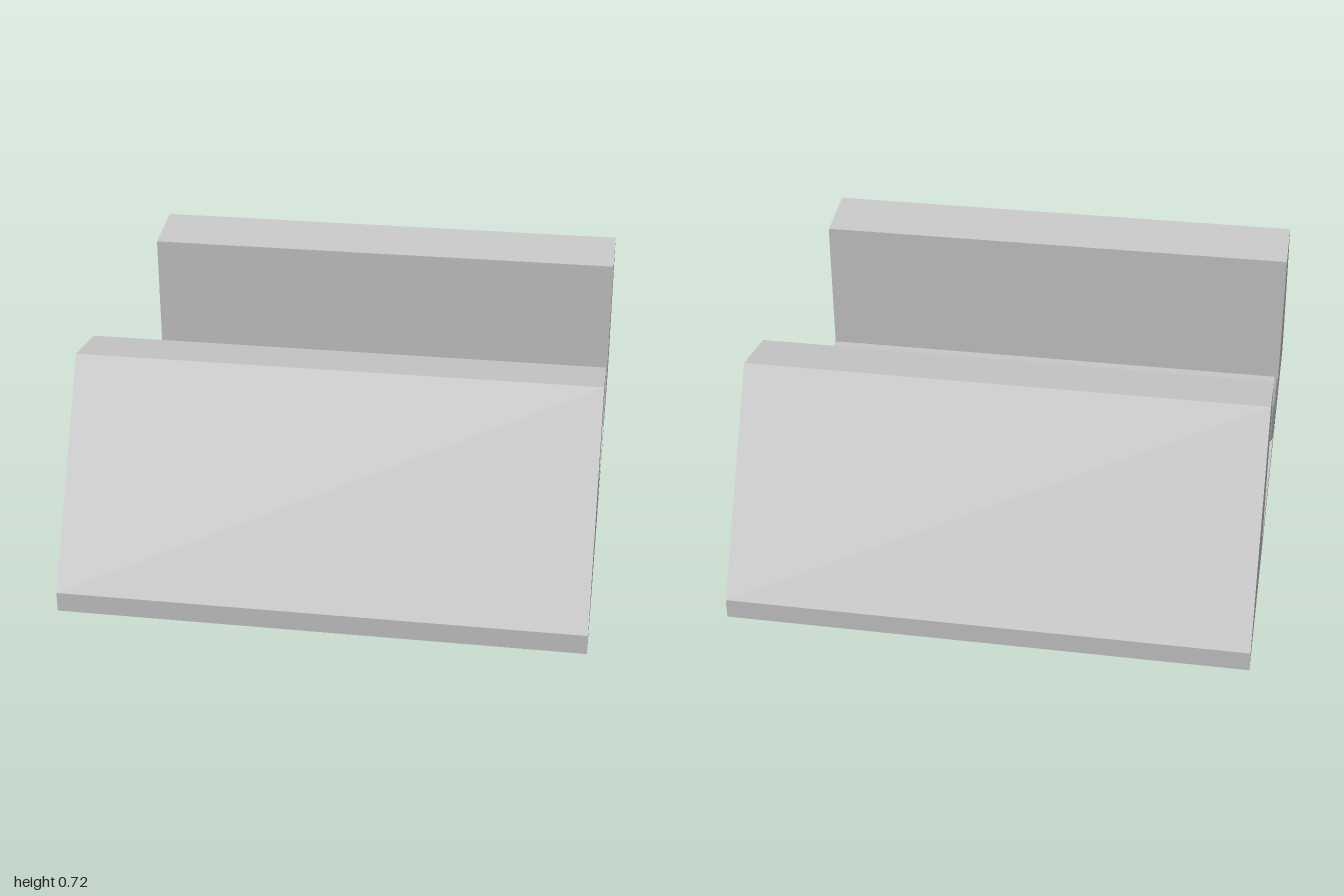
import * as THREE from 'three';
import { RoundedBoxGeometry } from 'three/addons/geometries/RoundedBoxGeometry.js';
import { mergeVertices } from 'three/addons/utils/BufferGeometryUtils.js';

export function createModel() {
  const model = new THREE.Group();
  model.name = 'slottedCradle';
  const grey = new THREE.MeshStandardMaterial({ color: 0xc8c8c8 });
  grey.name = 'light grey';
  const width = 1.66;

  // Cradle: half of the side profile (z, y), mirrored and extruded across x
  const half = [[1, 0], [1, 0.065], [0.625, 0.72], [0.42, 0.69], [0.42, 0.065]];
  const mirrored = half.map(([z, y]) => [-z, y]).reverse();
  const profile = new THREE.Shape([...half, ...mirrored].map(([z, y]) => new THREE.Vector2(z, y)));
  const cradleGeometry = new THREE.ExtrudeGeometry(profile, { depth: width, bevelEnabled: false });
  cradleGeometry.translate(0, 0, -width / 2);
  cradleGeometry.rotateY(-Math.PI / 2);
  const cradle = new THREE.Mesh(cradleGeometry, grey);
  cradle.name = 'cradle';
  model.add(cradle);

  // Stop bar: soft-edged block lying against the front wall, shaded smoothly all round
  let barGeometry = new RoundedBoxGeometry(width, 0.165, 0.205, 1, 0.015);
  for (const name of ['normal', 'uv']) barGeometry.deleteAttribute(name);
  barGeometry = mergeVertices(barGeometry);
  barGeometry.computeVertexNormals();
  const bar = new THREE.Mesh(barGeometry, grey);
  bar.name = 'stopBar';
  bar.position.set(0, 0.149, 0.313);
  model.add(bar);

  return model;
}
